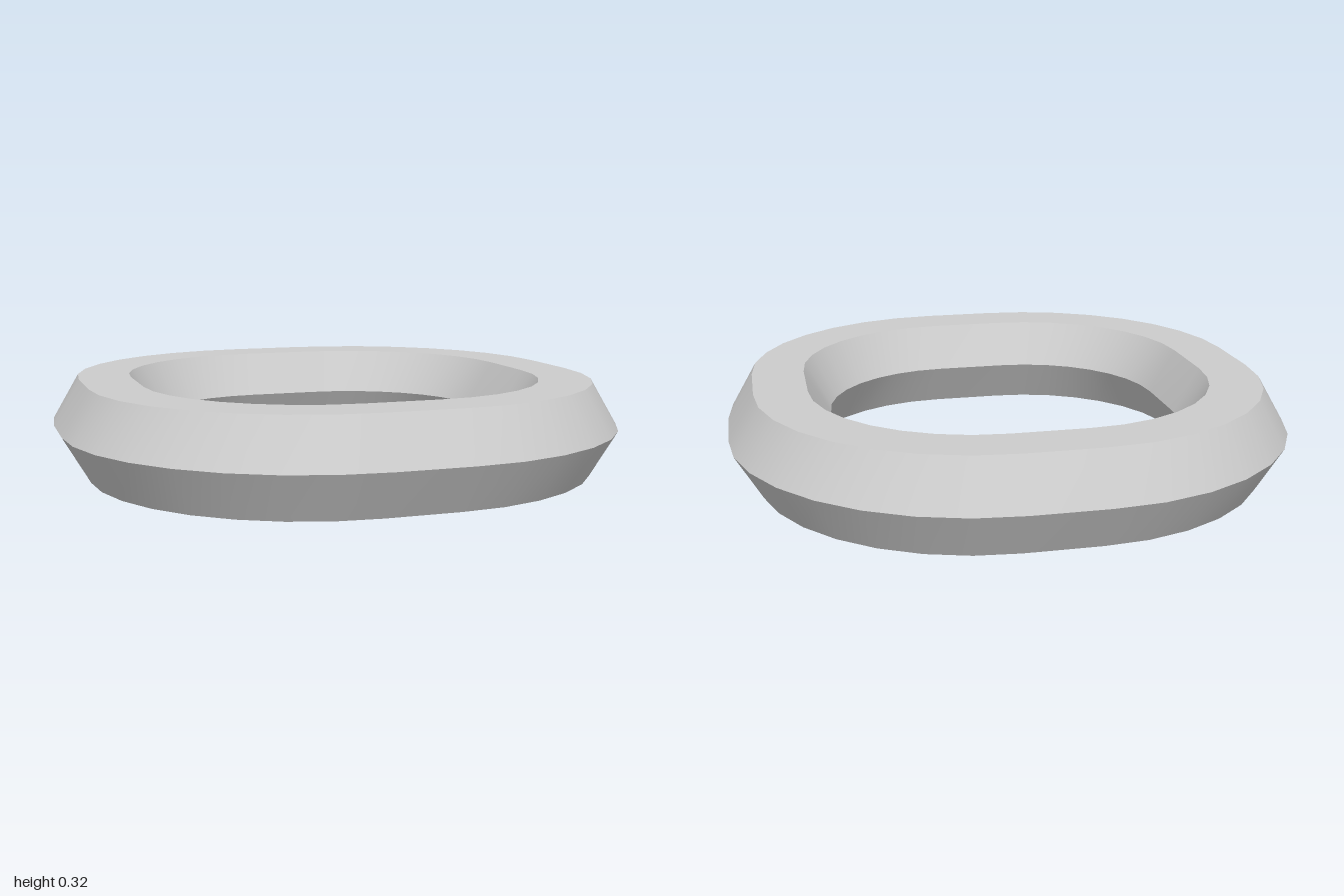
import * as THREE from 'three';

const TUBE = 0.1875;      // radius of the hexagonal section
const FLAT = 0.13;        // half length of each straight side
const BEND = 1 - FLAT - TUBE; // corner radius of the centre line
const CORNER_STEPS = 8;
const SIDES = 6;

// Rounded-square path: corner centre plus outward direction at each station
function pathStations() {
  const stations = [];
  for (let corner = 0; corner < 4; corner++) {
    const mid = (corner + 0.5) * Math.PI / 2;
    const cx = FLAT * Math.sign(Math.cos(mid));
    const cz = FLAT * Math.sign(Math.sin(mid));
    for (let i = 0; i <= CORNER_STEPS; i++) {
      const a = (corner + i / CORNER_STEPS) * Math.PI / 2;
      stations.push({ cx, cz, dx: Math.cos(a), dz: Math.sin(a) });
    }
  }
  return stations;
}

// Hexagon swept round the path; each facet owns its vertices, so the
// hexagon edges stay sharp while the shading is smooth along the ring
function ringGeometry() {
  const stations = pathStations();
  const n = stations.length;
  const positions = [];
  const indices = [];
  for (let side = 0; side < SIDES; side++) {
    const base = positions.length / 3;
    for (const s of stations) {
      for (const k of [side, side + 1]) {
        const b = k * 2 * Math.PI / SIDES;
        const r = BEND + TUBE * Math.cos(b);
        const y = TUBE * (Math.sin(b) + Math.sin(Math.PI / 3));
        positions.push(s.cx + s.dx * r, y, s.cz + s.dz * r);
      }
    }
    for (let i = 0; i < n; i++) {
      const p = base + 2 * i;
      const q = base + 2 * ((i + 1) % n);
      indices.push(p, p + 1, q, q, p + 1, q + 1);
    }
  }
  const geometry = new THREE.BufferGeometry();
  geometry.setAttribute('position', new THREE.Float32BufferAttribute(positions, 3));
  geometry.setIndex(indices);
  geometry.computeVertexNormals();
  return geometry;
}

export function createModel() {
  const group = new THREE.Group();
  group.name = 'roundedSquareRing';
  const ring = new THREE.Mesh(
    ringGeometry(),
    new THREE.MeshStandardMaterial({ color: 0xcccccc })
  );
  ring.name = 'ring';
  group.add(ring);
  return group;
}
